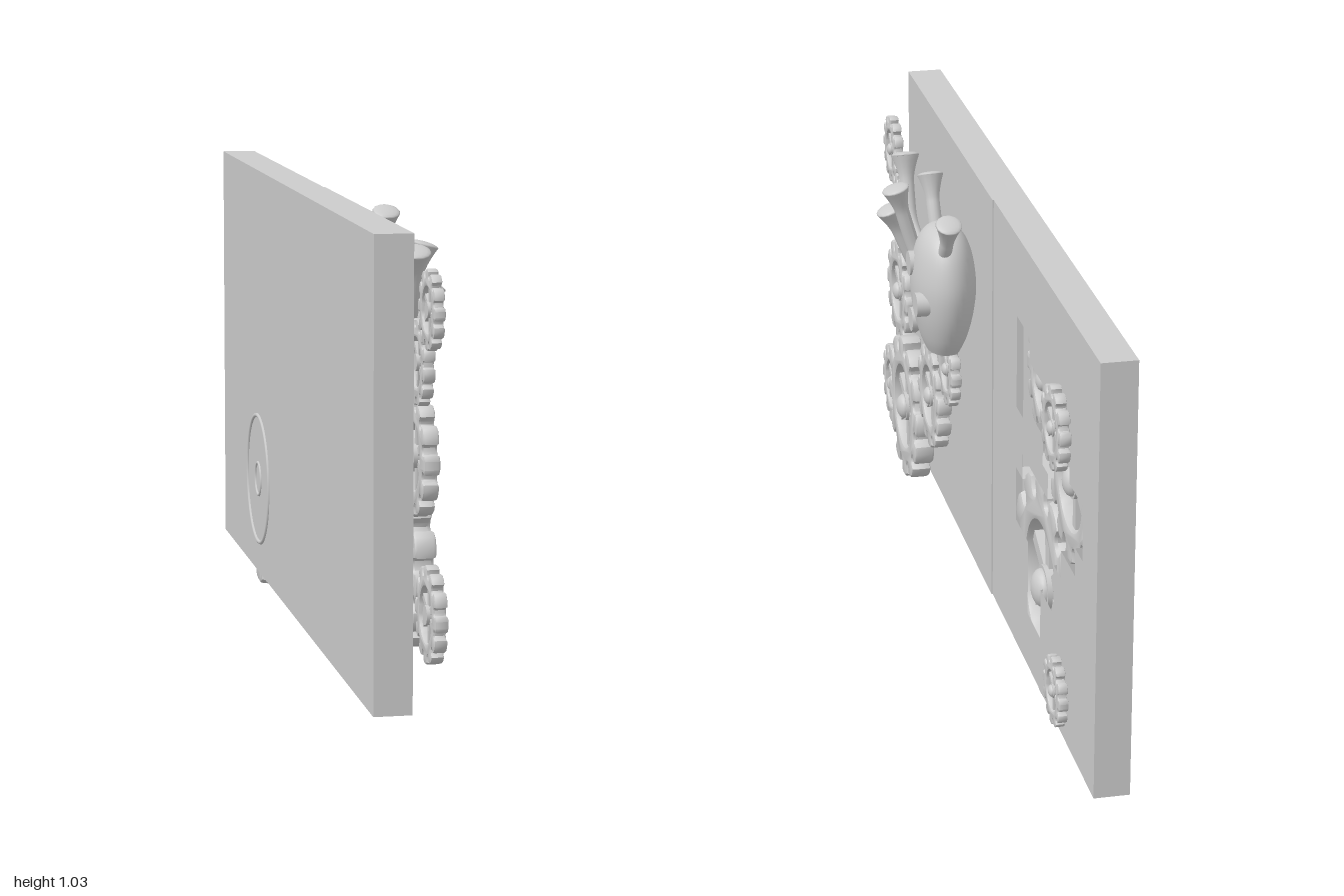
import * as THREE from 'three';
import { toCreasedNormals } from 'three/addons/utils/BufferGeometryUtils.js';

const mat = new THREE.MeshStandardMaterial({ color: 0xcccccc });
const matDouble = new THREE.MeshStandardMaterial({ color: 0xcccccc, side: THREE.DoubleSide });

function add(parent, name, geo, material = mat) {
  const m = new THREE.Mesh(geo, material);
  m.name = name;
  parent.add(m);
  return m;
}

// Gear facing +x, its back at x; twist turns the first tooth away from straight down
function gear(parent, name, x, y, z, r, twist = 0) {
  const g = new THREE.Group();
  g.name = name;
  const depth = 0.27 * r, bevel = 0.04 * r, teeth = 12;
  const pts = [];
  // rounded, slightly flared teeth: [fraction of the tooth pitch, radius]
  const tooth = [[-0.5, 0.74], [-0.3, 0.76], [-0.21, 0.83], [-0.24, 0.93], [-0.12, 0.96],
    [0.12, 0.96], [0.24, 0.93], [0.21, 0.83], [0.3, 0.76]];
  for (let i = 0; i < teeth; i++) {
    for (const [f, k] of tooth) {
      const a = -Math.PI / 2 + twist + (i + f) * 2 * Math.PI / teeth;
      pts.push(new THREE.Vector2(Math.cos(a) * r * k, Math.sin(a) * r * k));
    }
  }
  const shape = new THREE.Shape(pts);
  shape.holes.push(new THREE.Path().absarc(0, 0, r * 0.62, 0, Math.PI * 2, true));
  const ring = new THREE.ExtrudeGeometry(shape, {
    depth: depth - 2 * bevel, bevelThickness: bevel, bevelSize: bevel, bevelSegments: 2, curveSegments: 20,
  });
  ring.translate(0, 0, bevel);
  add(g, 'toothedRing', toCreasedNormals(ring, 0.7));
  // spokes
  for (let i = 0; i < 6; i++) {
    const spoke = new THREE.BoxGeometry(r * 0.6, r * 0.13, depth * 0.5);
    spoke.translate(r * 0.33, 0, depth * 0.5);
    spoke.rotateZ(twist + Math.PI / 2 + i * Math.PI / 3);
    add(g, 'spoke', spoke);
  }
  // hub with a domed front
  const hub = new THREE.CylinderGeometry(r * 0.2, r * 0.2, depth * 0.9, 20);
  hub.rotateX(Math.PI / 2).translate(0, 0, depth * 0.45);
  add(g, 'hub', hub);
  const dome = new THREE.SphereGeometry(r * 0.17, 18, 10);
  dome.scale(1, 1, 0.6).translate(0, 0, depth * 0.9);
  add(g, 'hubDome', dome);
  g.rotation.y = Math.PI / 2;
  g.position.set(x, y, z);
  parent.add(g);
}

// Curved tube whose far end opens out like a trumpet
function horn(parent, name, points, radius) {
  const curve = new THREE.CatmullRomCurve3(points.map(p => new THREE.Vector3(...p)), false, 'catmullrom', 0.4);
  const n = 32, sides = 14;
  const geo = new THREE.TubeGeometry(curve, n, radius, sides);
  const pos = geo.attributes.position, v = new THREE.Vector3();
  const length = curve.getLength();
  for (let i = 0; i <= n; i++) {
    const c = curve.getPointAt(i / n);
    const fromEnd = (1 - i / n) * length;
    const k = 1 + 0.95 * Math.max(0, 1 - fromEnd / 0.06) ** 1.5;
    for (let j = 0; j <= sides; j++) {
      const id = i * (sides + 1) + j;
      v.fromBufferAttribute(pos, id).sub(c).multiplyScalar(k).add(c);
      pos.setXYZ(id, v.x, v.y, v.z);
    }
  }
  geo.computeVertexNormals();
  add(parent, name, geo, matDouble);
  const end = curve.getPointAt(1);
  const cap = add(parent, name + 'Cap', new THREE.SphereGeometry(radius * 1.95, 16, 8));
  cap.scale.z = 0.25;
  cap.position.copy(end);
  cap.lookAt(end.clone().add(curve.getTangentAt(1)));
}

// Slab facing +x, outline and holes given as [z, y]
function slab(parent, name, x0, x1, outline, holes = []) {
  const toPts = list => list.map(([z, y]) => new THREE.Vector2(-z, y));
  const shape = new THREE.Shape(toPts(outline));
  for (const h of holes) shape.holes.push(new THREE.Path(toPts(h)));
  const geo = new THREE.ExtrudeGeometry(shape, { depth: x1 - x0, bevelEnabled: false });
  geo.rotateY(Math.PI / 2).translate(x0, 0, 0);
  add(parent, name, geo);
}

export function createModel() {
  const model = new THREE.Group();

  // Board: back sheet, plain half, and half with stepped windows
  const rect = (z0, z1) => [[z0, 0.03], [z1, 0.03], [z1, 1.03], [z0, 1.03]];
  slab(model, 'backSheet', -0.13, -0.122, rect(-1, 1));
  slab(model, 'plainHalf', -0.122, -0.047, rect(0, 1));
  const upperWindow = [[-0.245, 0.84], [-0.37, 0.84], [-0.37, 0.78], [-0.495, 0.78], [-0.495, 0.66],
    [-0.435, 0.66], [-0.435, 0.59], [-0.31, 0.59], [-0.31, 0.62], [-0.245, 0.62]];
  const lowerWindow = [[-0.62, 0.78], [-0.75, 0.78], [-0.75, 0.655], [-0.875, 0.655], [-0.875, 0.53],
    [-0.81, 0.53], [-0.81, 0.465], [-0.685, 0.465], [-0.685, 0.4], [-0.62, 0.4], [-0.62, 0.28],
    [-0.495, 0.28], [-0.495, 0.16], [-0.37, 0.16], [-0.37, 0.34], [-0.245, 0.34], [-0.245, 0.47],
    [-0.31, 0.47], [-0.31, 0.53], [-0.555, 0.53], [-0.555, 0.59], [-0.505, 0.59], [-0.505, 0.655], [-0.62, 0.655]];
  slab(model, 'windowHalf', -0.122, -0.05, rect(-1, 0), [upperWindow, lowerWindow]);

  // Gears set inside the board; the largest reaches through its bottom edge
  gear(model, 'sunkenGear', -0.11, 0.735, -0.375, 0.135);
  gear(model, 'sunkenGear', -0.115, 0.63, -0.69, 0.19);
  gear(model, 'sunkenLargeGear', -0.129, 0.265, -0.455, 0.265, 0.075);

  // Raised rings of the largest gear on the back
  for (const [r, t] of [[0.158, 0.005], [0.04, 0.004]]) {
    const ring = new THREE.TorusGeometry(r, t, 8, 48);
    ring.rotateY(Math.PI / 2).translate(-0.13, 0.265, -0.455);
    add(model, 'backRing', ring);
  }

  // Gears standing in front of the board: y, z, radius, twist
  const gears = [
    [0.86, 0.9, 0.085, 0], [0.735, 0.79, 0.093, 0.2], [0.53, 0.757, 0.13, 0], [0.27, 0.62, 0.183, 0.1],
    [0.217, 0.897, 0.105, 0], [0.405, 0.36, 0.13, 0.15], [0.537, 0.205, 0.09, 0],
    [0.845, -0.88, 0.092, 0.1], [0.243, -0.897, 0.078, 0],
  ];
  for (const [y, z, r, twist] of gears) gear(model, 'frontGear', 0, y, z, r, twist);

  // Egg-shaped body, flat at the bottom
  const creature = new THREE.Group();
  creature.name = 'creature';
  model.add(creature);
  const profile = [[0.062, 0.6], [0.085, 0.635], [0.107, 0.69], [0.118, 0.75], [0.115, 0.8],
    [0.1, 0.85], [0.075, 0.885], [0.04, 0.905], [0, 0.91]].map(p => new THREE.Vector2(...p));
  const egg = new THREE.SplineCurve(profile).getPoints(28);
  egg[egg.length - 1].x = 0;
  const body = new THREE.LatheGeometry(egg, 36);
  body.scale(0.64, 1, 1).translate(0.029, 0, 0.195);
  add(creature, 'body', body);
  const base = new THREE.CircleGeometry(0.062, 36);
  base.rotateX(Math.PI / 2).scale(0.64, 1, 1).translate(0.029, 0.6, 0.195);
  add(creature, 'bodyBase', base);

  // Round studs on the body: y, z, outer x
  for (const [y, z, x] of [[0.81, 0.215, 0.108], [0.735, 0.135, 0.108], [0.66, 0.235, 0.1]]) {
    const stud = new THREE.CylinderGeometry(0.029, 0.029, 0.06, 24);
    stud.rotateZ(Math.PI / 2).translate(x - 0.03, y, z);
    add(creature, 'stud', stud);
  }

  // Two horns on top and the bent limbs at the side
  horn(creature, 'horn', [[0.035, 0.87, 0.235], [0.038, 0.93, 0.258], [0.04, 1.0, 0.288]], 0.016);
  horn(creature, 'horn', [[0.04, 0.85, 0.13], [0.04, 0.89, 0.1], [0.04, 0.95, 0.07]], 0.016);
  horn(creature, 'longLimb', [[0.03, 0.765, 0.25], [0.03, 0.765, 0.4], [0.035, 0.77, 0.5],
    [0.04, 0.81, 0.55], [0.04, 0.945, 0.6]], 0.018);
  horn(creature, 'upperLimb', [[0.03, 0.74, 0.25], [0.035, 0.74, 0.36], [0.06, 0.78, 0.39], [0.105, 0.935, 0.385]], 0.017);
  horn(creature, 'lowerLimb', [[0.03, 0.685, 0.25], [0.03, 0.685, 0.44], [0.045, 0.71, 0.475], [0.105, 0.855, 0.467]], 0.017);
  const link = new THREE.CylinderGeometry(0.015, 0.015, 0.09, 14);
  link.translate(0.03, 0.725, 0.475);
  add(creature, 'limbLink', link);

  return model;
}
